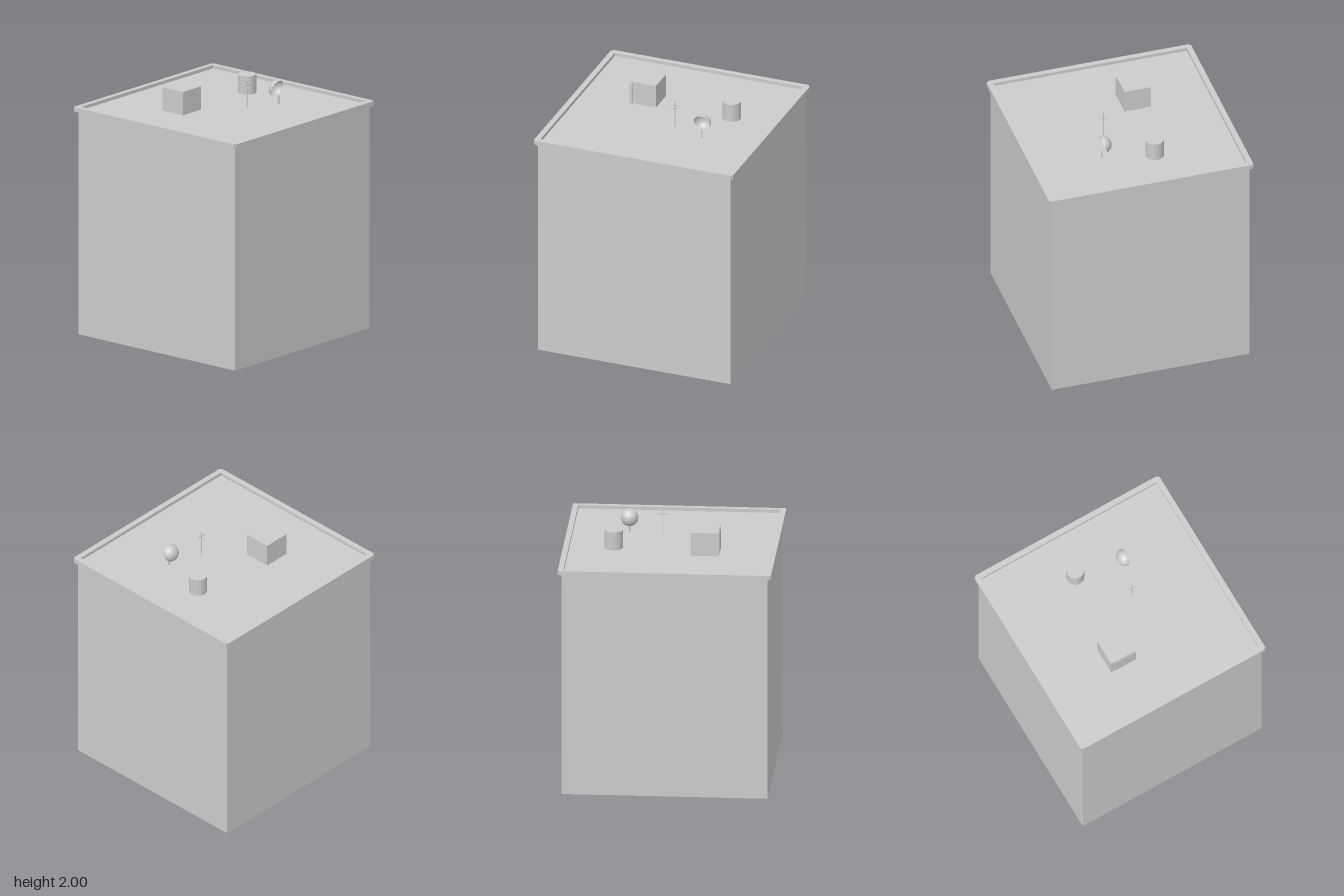
import * as THREE from 'three';

const grey = new THREE.MeshStandardMaterial({ color: 0xcccccc });
const thin = new THREE.MeshStandardMaterial({ color: 0xcccccc, side: THREE.DoubleSide });

export function createModel() {
  const model = new THREE.Group();
  const deck = 1.78;

  const add = (name, geometry, x, y, z, material = grey, parent = model) => {
    const mesh = new THREE.Mesh(geometry, material);
    mesh.name = name;
    mesh.position.set(x, y, z);
    parent.add(mesh);
    return mesh;
  };
  // Box given by its min and max corners
  const box = (name, x0, x1, y0, y1, z0, z1, parent = model) =>
    add(name, new THREE.BoxGeometry(x1 - x0, y1 - y0, z1 - z0),
      (x0 + x1) / 2, (y0 + y1) / 2, (z0 + z1) / 2, grey, parent);
  // Upright cylinder given by its bottom and top
  const post = (name, r, x, z, y0, y1, sides, parent = model) =>
    add(name, new THREE.CylinderGeometry(r, r, y1 - y0, sides), x, (y0 + y1) / 2, z, grey, parent);

  // Main block, whose top is the roof deck
  box('buildingBody', -0.79, 0.79, 0, deck, -0.79, 0.79);

  // Parapet: four rails overlapping at slightly notched corners
  const parapet = new THREE.Group();
  parapet.name = 'parapet';
  model.add(parapet);
  for (const s of [-1, 1]) {
    const a = Math.min(s * 0.775, s * 0.818), b = Math.max(s * 0.775, s * 0.818);
    box('parapetRail', -0.805, 0.805, 1.77, 1.806, a, b, parapet);
    box('parapetRail', a, b, 1.77, 1.806, -0.805, 0.805, parapet);
  }

  // Stair hut with a door panel on its right side
  box('roofHut', -0.377, -0.165, deck, 1.965, -0.298, -0.088);
  box('hutDoor', -0.382, -0.36, deck, 1.95, -0.26, -0.083);

  // Water tank
  post('waterTank', 0.072, 0.436, -0.142, deck, 1.925, 12);

  // Mast with two crossed bars
  const antenna = new THREE.Group();
  antenna.name = 'antenna';
  model.add(antenna);
  post('antennaMast', 0.004, 0.086, 0.157, deck, 2.0, 6, antenna);
  box('antennaBar', 0.048, 0.124, 1.956, 1.963, 0.154, 0.16, antenna);
  box('antennaBar', 0.083, 0.089, 1.943, 1.95, 0.12, 0.194, antenna);

  // Dish on a short post: an open bowl with its hollow side forward and a little down
  const dishGroup = new THREE.Group();
  dishGroup.name = 'satelliteDish';
  model.add(dishGroup);
  const bowl = new THREE.SphereGeometry(0.068, 20, 8, 0, Math.PI * 2, 0, Math.PI / 2);
  bowl.scale(1, 0.9, 1);
  bowl.rotateX(-Math.PI / 2 + 0.34);
  add('dishBowl', bowl, 0.343, 1.899, 0.239, thin, dishGroup);
  post('dishPost', 0.007, 0.345, 0.253, deck, 1.847, 8, dishGroup);

  return model;
}
